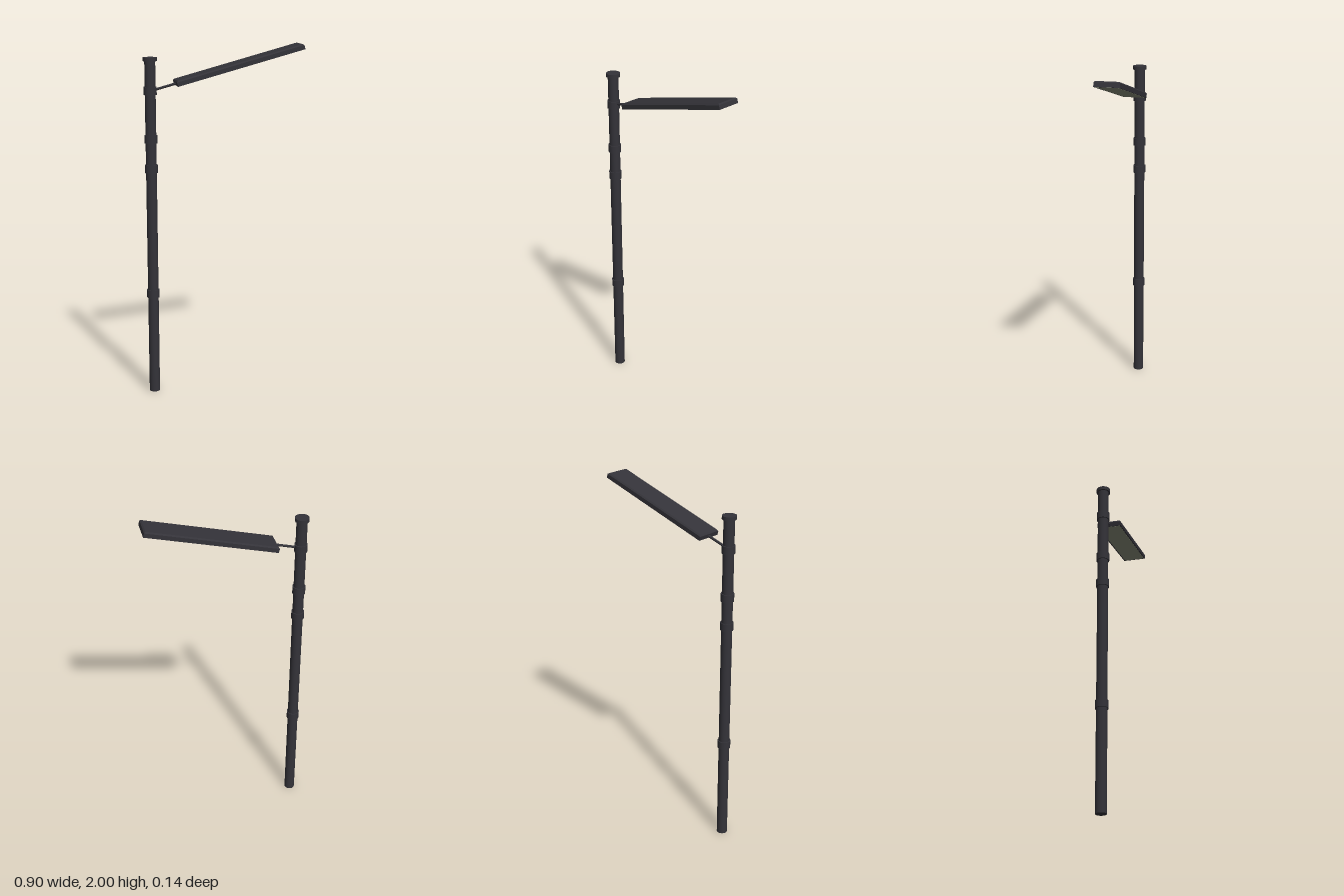
import * as THREE from 'three';

const POLE_X = -0.412;
const TILT = THREE.MathUtils.degToRad(15);

// Box whose upper edges are chamfered on all four sides
function chamferedSlab(length, thickness, width, chamfer) {
  const geo = new THREE.BoxGeometry(length, thickness, width, 1, 2, 1);
  const p = geo.attributes.position;
  for (let i = 0; i < p.count; i++) {
    const y = p.getY(i);
    if (Math.abs(y) < 1e-5) p.setY(i, thickness / 2 - chamfer);
    else if (y > 0) {
      p.setX(i, p.getX(i) - Math.sign(p.getX(i)) * chamfer);
      p.setZ(i, p.getZ(i) - Math.sign(p.getZ(i)) * chamfer);
    }
  }
  const flat = geo.toNonIndexed();
  flat.computeVertexNormals();
  return flat;
}

export function createModel() {
  const model = new THREE.Group();
  model.name = 'streetLight';
  const metal = new THREE.MeshStandardMaterial({ name: 'darkMetal', color: 0x343339 });
  const lens = new THREE.MeshStandardMaterial({ name: 'oliveLens', color: 0x8c8f7c });

  const add = (parent, name, geo, mat, x = 0, y = 0, z = 0) => {
    const mesh = new THREE.Mesh(geo, mat);
    mesh.name = name;
    mesh.position.set(x, y, z);
    parent.add(mesh);
    return mesh;
  };

  // Pole with cap
  add(model, 'pole', new THREE.CylinderGeometry(0.03, 0.03, 1.925, 32), metal, POLE_X, 0.9625);
  add(model, 'poleCap', new THREE.CylinderGeometry(0.039, 0.039, 0.02, 32), metal, POLE_X, 1.927);

  // Collars along the pole
  for (const y of [0.593, 1.319, 1.486, 1.754]) {
    add(model, 'collar', new THREE.CylinderGeometry(0.036, 0.036, 0.044, 32), metal, POLE_X, y);
  }

  // Tilted lamp head with its arm
  const head = new THREE.Group();
  head.name = 'lampHead';
  head.position.set(0.088, 1.891, 0);
  head.rotation.z = TILT;
  model.add(head);

  const length = 0.744, thickness = 0.031, width = 0.138;
  add(head, 'housing', chamferedSlab(length, thickness, width, 0.007), metal);
  add(head, 'lightPanel', new THREE.BoxGeometry(length - 0.016, 0.002, width - 0.014), lens, 0, -thickness / 2);

  const arm = add(head, 'arm', new THREE.CylinderGeometry(0.007, 0.007, 0.16, 8), metal, -0.436, -0.004);
  arm.rotation.z = Math.PI / 2;

  return model;
}
